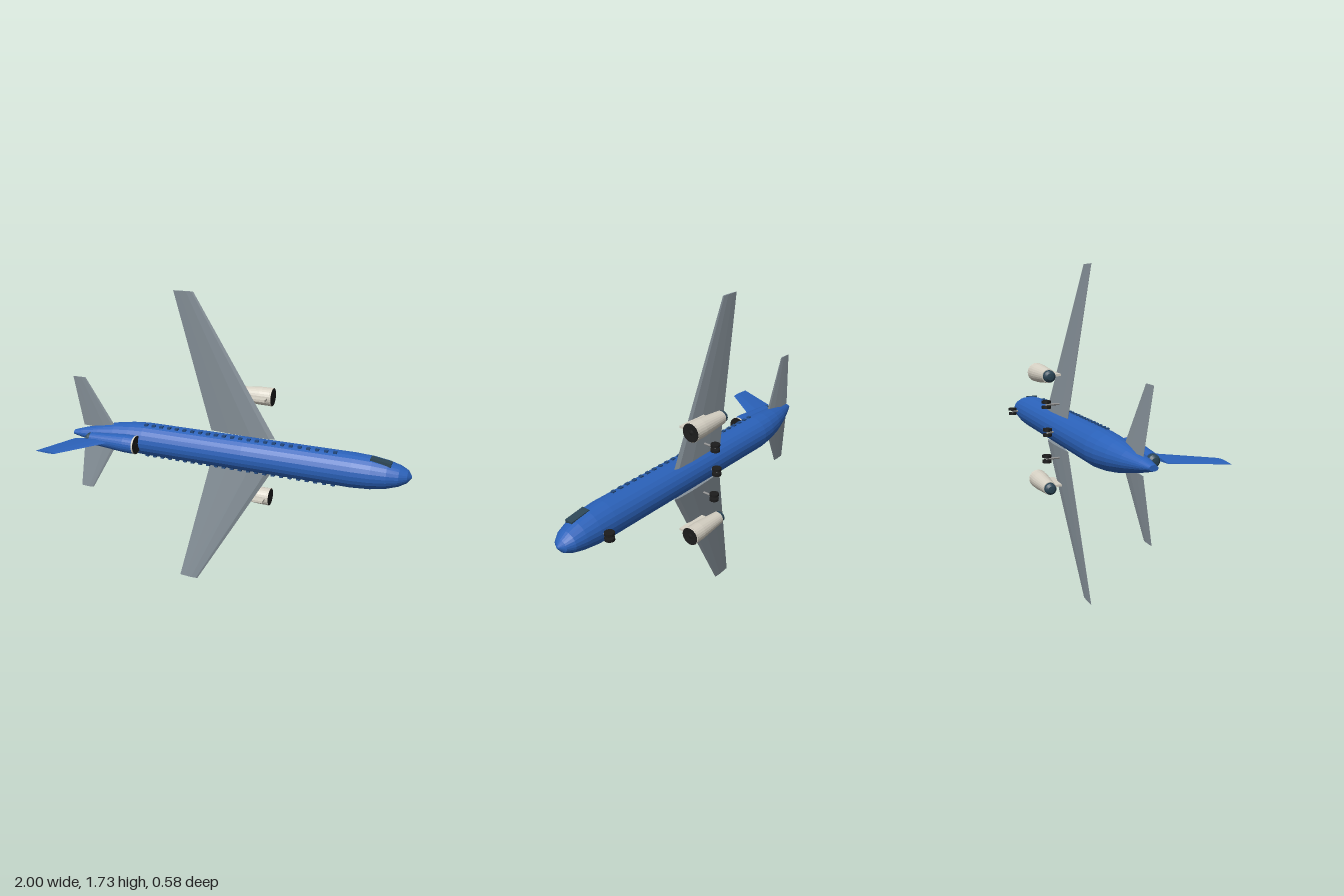
import * as THREE from 'three';

const mat = (color) => new THREE.MeshStandardMaterial({ color, flatShading: true });
const blue = mat(0x2b62ba), wingGrey = mat(0x87929a), cream = mat(0xd6d1c4);
const black = mat(0x1c1c1c), glass = mat(0x2c4656), steel = mat(0x8c8c8c), pane = mat(0x234a80);

// Skin a list of rings (arrays of [x, y, z]) and close both ends; always wound outwards.
function loft(rings) {
  const n = rings[0].length, pos = [], tri = [];
  rings.forEach((r) => r.forEach((p) => pos.push(...p)));
  for (let i = 0; i < rings.length - 1; i++) {
    for (let j = 0; j < n; j++) {
      const a = i * n + j, b = i * n + ((j + 1) % n);
      tri.push([a, b, b + n], [a, b + n, a + n]);
    }
  }
  const last = (rings.length - 1) * n;
  for (let j = 1; j < n - 1; j++) tri.push([0, j + 1, j], [last, last + j, last + j + 1]);
  const v = (i) => new THREE.Vector3().fromArray(pos, i * 3);
  const volume = tri.reduce((s, [a, b, c]) => s + v(a).dot(v(b).cross(v(c))), 0);
  if (volume < 0) tri.forEach((t) => t.reverse());
  const g = new THREE.BufferGeometry();
  g.setAttribute('position', new THREE.Float32BufferAttribute(pos, 3));
  g.setIndex(tri.flat());
  g.computeVertexNormals();
  return g;
}

// Aerofoil outline: [fraction of chord from the leading edge, height / thickness]
const FOIL = [[0, 0], [0.08, 0.4], [0.35, 0.62], [0.7, 0.38], [1, 0.04],
  [1, -0.04], [0.7, -0.25], [0.35, -0.38], [0.08, -0.28]];

// Section at span `s`: lead and trail are x, `place` turns (x, span, height) into a point
const foil = (lead, trail, thick, place) =>
  FOIL.map(([t, h]) => place(lead + (trail - lead) * t, h * thick));

export function createModel() {
  const root = new THREE.Group();
  const plane = new THREE.Group();
  plane.name = 'airliner';
  plane.position.y = 0.867;
  root.add(plane);

  const add = (name, geometry, material, x = 0, y = 0, z = 0, parent = plane) => {
    const m = new THREE.Mesh(geometry, material);
    m.name = name;
    m.position.set(x, y, z);
    parent.add(m);
    return m;
  };

  // Fuselage: [x, half width, upper z, lower z], tail to nose
  const stations = [
    [-0.96, 0.014, -0.037, -0.08], [-0.9, 0.031, -0.032, -0.107], [-0.8, 0.055, -0.027, -0.148],
    [-0.7, 0.075, -0.024, -0.18], [-0.6, 0.088, -0.022, -0.202], [-0.51, 0.094, -0.021, -0.212],
    [0.1, 0.094, -0.021, -0.212], [0.7, 0.094, -0.021, -0.212], [0.8, 0.088, -0.028, -0.21],
    [0.88, 0.074, -0.043, -0.203], [0.94, 0.055, -0.064, -0.193], [0.98, 0.033, -0.094, -0.174],
    [1, 0.006, -0.127, -0.14],
  ];
  const SIDES = 24;
  add('fuselage', loft(stations.map(([x, w, top, bottom]) =>
    Array.from({ length: SIDES }, (_, i) => {
      const a = (i / SIDES) * Math.PI * 2;
      return [x, w * Math.cos(a), (top + bottom) / 2 + ((top - bottom) / 2) * Math.sin(a)];
    }))), blue);

  // Cockpit window
  const cockpit = add('cockpitWindow', new THREE.BoxGeometry(0.11, 0.022, 0.044), glass, 0.843, 0.074, -0.102);
  cockpit.rotation.z = -0.15;

  // Fin above the tail engine
  add('fin', loft([
    foil(-0.69, -0.902, 0.02, (x, h) => [x, h, 0.035]),
    foil(-0.875, -1, 0.01, (x, h) => [x, h, 0.287]),
  ]), blue);

  // Engine: a shell round the x axis, dark fan in front, nozzle cone behind
  const engine = (name, front, rear, rFront, rRear, y, z, shellMat) => {
    const g = new THREE.Group();
    g.name = name;
    g.position.set(0, y, z);
    plane.add(g);
    const turned = (part, profile, material) => {
      const pts = profile.map(([r, x]) => new THREE.Vector2(r, x));
      add(part, new THREE.LatheGeometry(pts, 24), material, 0, 0, 0, g).rotation.z = -Math.PI / 2;
    };
    turned('nacelle', [[0, rear], [rRear, rear], [rFront * 0.97, front - 0.07], [rFront * 0.98, front - 0.01]], shellMat);
    turned('intakeLip', [[rFront * 0.98, front - 0.01], [rFront, front - 0.008], [rFront, front - 0.001], [rFront * 0.97, front]], cream);
    turned('fan', [[rFront * 0.97, front], [rFront * 0.3, front - 0.004], [0, front]], black);
    turned('nozzle', [[0, rear - 0.035], [rRear * 0.5, rear - 0.033], [rRear * 0.85, rear - 0.02], [rRear * 0.9, rear + 0.005]], glass);
  };
  engine('tailEngine', -0.52, -0.815, 0.054, 0.034, 0, 0, blue);

  // Twin-wheel undercarriage leg
  const gear = (name, x, y, top) => {
    const g = new THREE.Group();
    g.name = name;
    g.position.set(x, y, -0.243);
    plane.add(g);
    const len = top + 0.243;
    add('strut', new THREE.CylinderGeometry(0.006, 0.006, len, 10), steel, 0, 0, len / 2, g).rotation.x = Math.PI / 2;
    add('axle', new THREE.CylinderGeometry(0.005, 0.005, 0.03, 8), steel, 0, 0, 0, g);
    for (const s of [-1, 1]) add('wheel', new THREE.CylinderGeometry(0.025, 0.025, 0.014, 18), black, 0, s * 0.014, 0, g);
  };
  gear('noseGear', 0.785, 0, -0.19);
  gear('centreGear', -0.005, 0, -0.19);

  // Everything that comes in pairs
  for (const s of [1, -1]) {
    add('wing', loft([
      foil(0.25, -0.127, 0.032, (x, h) => [x, s * 0.087, h - 0.168]),
      foil(-0.2, -0.315, 0.01, (x, h) => [x, s * 0.867, h - 0.106]),
    ]), wingGrey);
    add('tailplane', loft([
      foil(-0.692, -0.913, 0.014, (x, h) => [x, s * 0.042, h - 0.086]),
      foil(-0.862, -0.944, 0.007, (x, h) => [x, s * 0.346, h - 0.056]),
    ]), wingGrey);
    engine('wingEngine', 0.21, -0.03, 0.051, 0.036, s * 0.302, -0.24, cream);
    add('pylon', new THREE.BoxGeometry(0.18, 0.012, 0.05), cream, 0.1, s * 0.302, -0.178);
    gear('wingGear', 0.012, s * 0.147, -0.165);

    // Cabin windows
    for (let i = 0; i < 24; i++) {
      add('cabinWindow', new THREE.BoxGeometry(0.02, 0.012, 0.018), pane, -0.5 + i * 0.048, s * 0.092, -0.092);
    }
  }
  return root;
}
